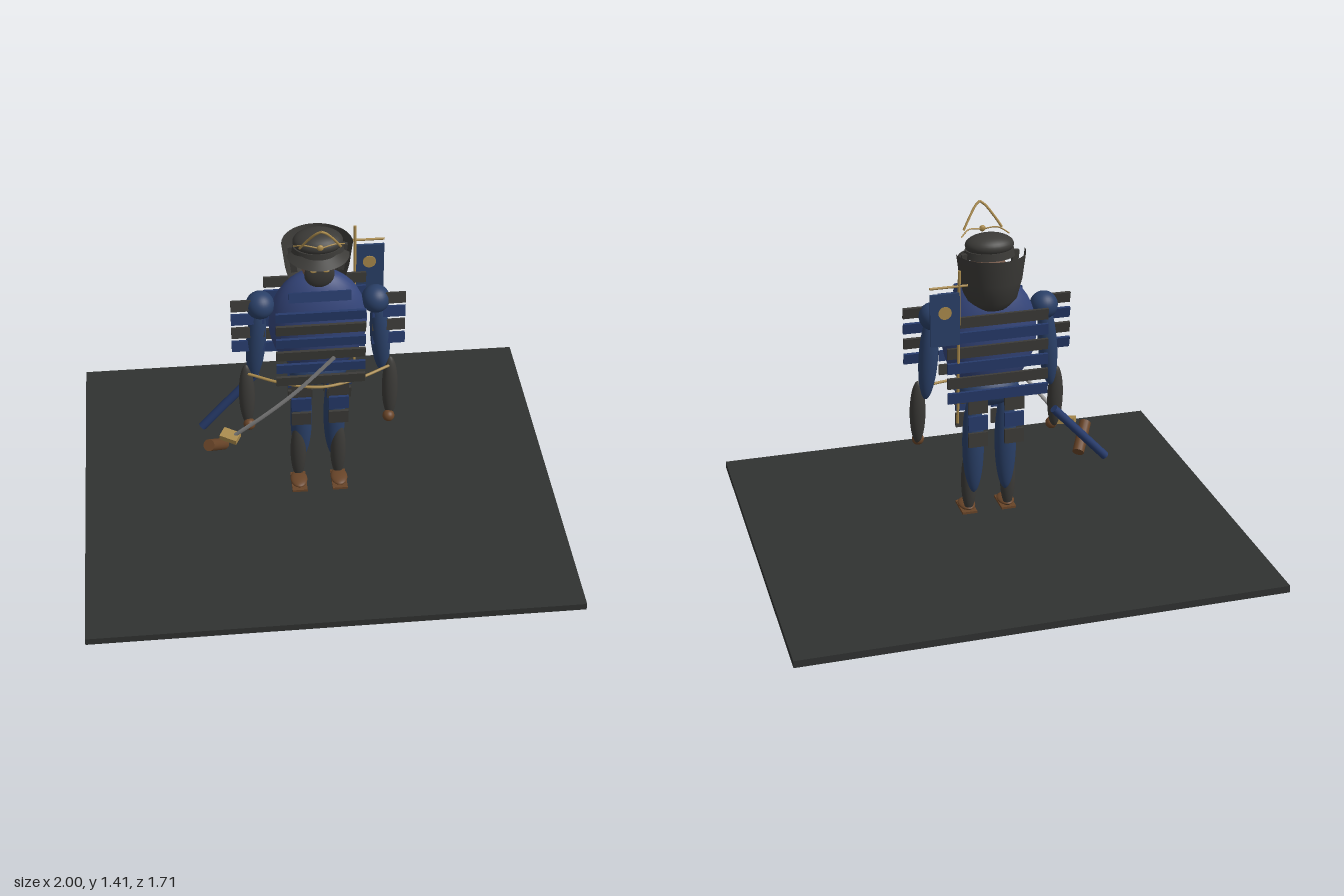
import * as THREE from 'three';

const mat = (color) => new THREE.MeshStandardMaterial({ color, side: THREE.DoubleSide });
const M = {
  blue: mat(0x2a4068), cloth: mat(0x34457a), navy: mat(0x263a6a), dark: mat(0x3b3a37),
  gold: mat(0xa98a4c), brown: mat(0x684428), skin: mat(0x7d6050), steel: mat(0x9a9a9a), slab: mat(0x303231),
};
const V = (a) => new THREE.Vector3(...a);

export function createModel() {
  const root = new THREE.Group();
  const add = (name, geo, m, pos = [0, 0, 0], rot = [0, 0, 0]) => {
    const mesh = new THREE.Mesh(geo, m);
    mesh.name = name;
    mesh.position.set(...pos);
    mesh.rotation.set(...rot);
    root.add(mesh);
    return mesh;
  };
  const box = (name, size, m, pos, rot) => add(name, new THREE.BoxGeometry(...size), m, pos, rot);
  const ball = (name, r, m, pos, rot) =>
    add(name, new THREE.SphereGeometry(1, 28, 20).scale(...r), m, pos, rot);
  const tube = (name, pts, r, m) =>
    add(name, new THREE.TubeGeometry(new THREE.CatmullRomCurve3(pts.map(V)), 24, r, 8), m);
  const rod = (name, a, b, r, m) => {
    const d = V(b).sub(V(a));
    const mesh = add(name, new THREE.CylinderGeometry(r, r, d.length(), 16), m);
    mesh.position.copy(V(a)).addScaledVector(d, 0.5);
    mesh.quaternion.setFromUnitVectors(new THREE.Vector3(0, 1, 0), d.normalize());
    return mesh;
  };
  // A stack of thin armour strips in alternating colours
  const strips = (name, n, top, pitch, w, h, x, z, first = 0, tilt = 0.1) => {
    for (let i = 0; i < n; i++) {
      box(name, [w, h, 0.012], (i + first) % 2 ? M.navy : M.dark, [x, top - i * pitch, z], [tilt, 0, 0]);
    }
  };

  box('base', [2, 0.03, 1.714], M.slab, [0, 0.015, 0]);

  // Body
  ball('torso', [0.2, 0.25, 0.11], M.cloth, [0, 0.89, 0.01]);
  ball('hips', [0.125, 0.07, 0.075], M.blue, [0, 0.645, 0]);
  strips('chestPlate', 6, 1.005, 0.063, 0.36, 0.044, 0, 0.138, 1);
  box('collarPlate', [0.25, 0.04, 0.012], M.navy, [0, 1.065, 0.09], [-0.3, 0, 0]);
  strips('backPlate', 6, 1.0, 0.065, 0.42, 0.046, 0, -0.122, 0, -0.06);

  // Limbs, mirrored
  for (const s of [-1, 1]) {
    ball('thigh', [0.046, 0.23, 0.038], M.blue, [s * 0.07, 0.4, 0.005]);
    ball('shin', [0.033, 0.145, 0.027], M.dark, [s * 0.085, 0.22, 0.022]);
    ball('foot', [0.036, 0.014, 0.055], M.brown, [s * 0.086, 0.092, 0.058]);
    box('sandal', [0.064, 0.01, 0.12], M.brown, [s * 0.086, 0.076, 0.06]);
    ball('shoulder', [0.058, 0.058, 0.058], M.blue, [s * 0.233, 0.985, 0.012]);
    ball('upperArm', [0.04, 0.19, 0.036], M.blue, [s * 0.253, 0.81, 0.018], [0, 0, s * 0.08]);
    ball('forearm', [0.033, 0.145, 0.027], M.dark, [s * 0.297, 0.555, 0.04], [-0.08, 0, 0]);
    ball('hand', [0.025, 0.025, 0.025], M.brown, [s * 0.291, 0.42, 0.068]);
    strips('shoulderPlate', 4, 1.0, 0.066, 0.135, 0.046, s * 0.285, 0.034, 0, -0.2);
    for (const z of [0.108, -0.098]) strips('skirtPlate', 3, 0.615, 0.075, 0.082, 0.062, s * 0.077, z, 0, 0.04);
    strips('sideSkirtPlate', 2, 0.64, 0.065, 0.1, 0.05, s * 0.08, 0.085, 1);
  }

  // Belt cord and waist cord
  tube('beltCord', [[-0.29, 0.665, 0.045], [-0.15, 0.652, 0.105], [0, 0.645, 0.135],
    [0.15, 0.652, 0.105], [0.29, 0.665, 0.045]], 0.006, M.gold);

  // Head
  ball('neck', [0.05, 0.08, 0.045], M.skin, [0, 1.12, 0.01]);
  ball('face', [0.07, 0.085, 0.055], M.skin, [0, 1.18, 0.02]);
  ball('mask', [0.06, 0.06, 0.02], M.dark, [0, 1.16, 0.073]);
  for (const s of [-1, 1]) {
    ball('eye', [0.013, 0.006, 0.006], M.gold, [s * 0.025, 1.185, 0.089]);
    box('cheekFlap', [0.025, 0.12, 0.02], M.dark, [s * 0.1, 1.185, -0.01], [0, 0, s * -0.12]);
  }
  ball('helmetBowl', [0.1, 0.045, 0.077], M.dark, [0, 1.272, 0.003]);
  add('helmetBrim', new THREE.CylinderGeometry(0.085, 0.125, 0.024, 32, 1, true, -Math.PI / 2, Math.PI), M.dark, [0, 1.228, 0.01]);
  add('helmetBand', new THREE.CylinderGeometry(0.1, 0.105, 0.03, 32).scale(1, 1, 0.75), M.dark, [0, 1.24, 0.003]);

  // Flared neck guard behind the head
  const guard = [[0.02, 1.01], [0.075, 1.02], [0.108, 1.06], [0.128, 1.14], [0.142, 1.25]]
    .map((p) => new THREE.Vector2(...p));
  add('neckGuard', new THREE.LatheGeometry(guard, 28, Math.PI / 2, Math.PI), M.dark, [0, 0, -0.014]);

  // Crest
  for (const s of [-1, 1]) {
    tube('crestHorn', [[s * 0.08, 1.305, 0.1], [s * 0.055, 1.345, 0.115], [s * 0.02, 1.392, 0.138],
      [0, 1.407, 0.147]], 0.005, M.gold);
    tube('helmetCord', [[s * 0.1, 1.29, 0.06], [s * 0.06, 1.31, 0.09], [0, 1.302, 0.105]], 0.003, M.gold);
  }
  ball('crestBoss', [0.013, 0.013, 0.008], M.gold, [0, 1.305, 0.105]);

  // Back banner
  rod('bannerPole', [0.165, 0.555, -0.105], [0.165, 1.23, -0.15], 0.006, M.gold);
  rod('bannerCrossbar', [0.13, 1.165, -0.146], [0.285, 1.165, -0.146], 0.005, M.gold);
  box('banner', [0.12, 0.22, 0.01], M.blue, [0.225, 1.03, -0.148]);
  add('bannerDisc', new THREE.CylinderGeometry(0.027, 0.027, 0.016, 24).rotateX(Math.PI / 2), M.gold, [0.225, 1.06, -0.146]);

  // Sword and scabbard
  tube('swordBlade', [[-0.36, 0.4, 0.115], [-0.24, 0.55, 0.185], [-0.11, 0.715, 0.245],
    [0.035, 0.92, 0.302]], 0.008, M.steel);
  box('swordGuard', [0.075, 0.025, 0.05], M.gold, [-0.375, 0.4, 0.115], [0.2, -0.5, 0]);
  rod('swordGrip', [-0.465, 0.37, 0.13], [-0.4, 0.285, 0.025], 0.025, M.brown);
  rod('scabbard', [-0.485, 0.305, -0.075], [-0.25, 0.56, -0.09], 0.018, M.navy);

  return root;
}
